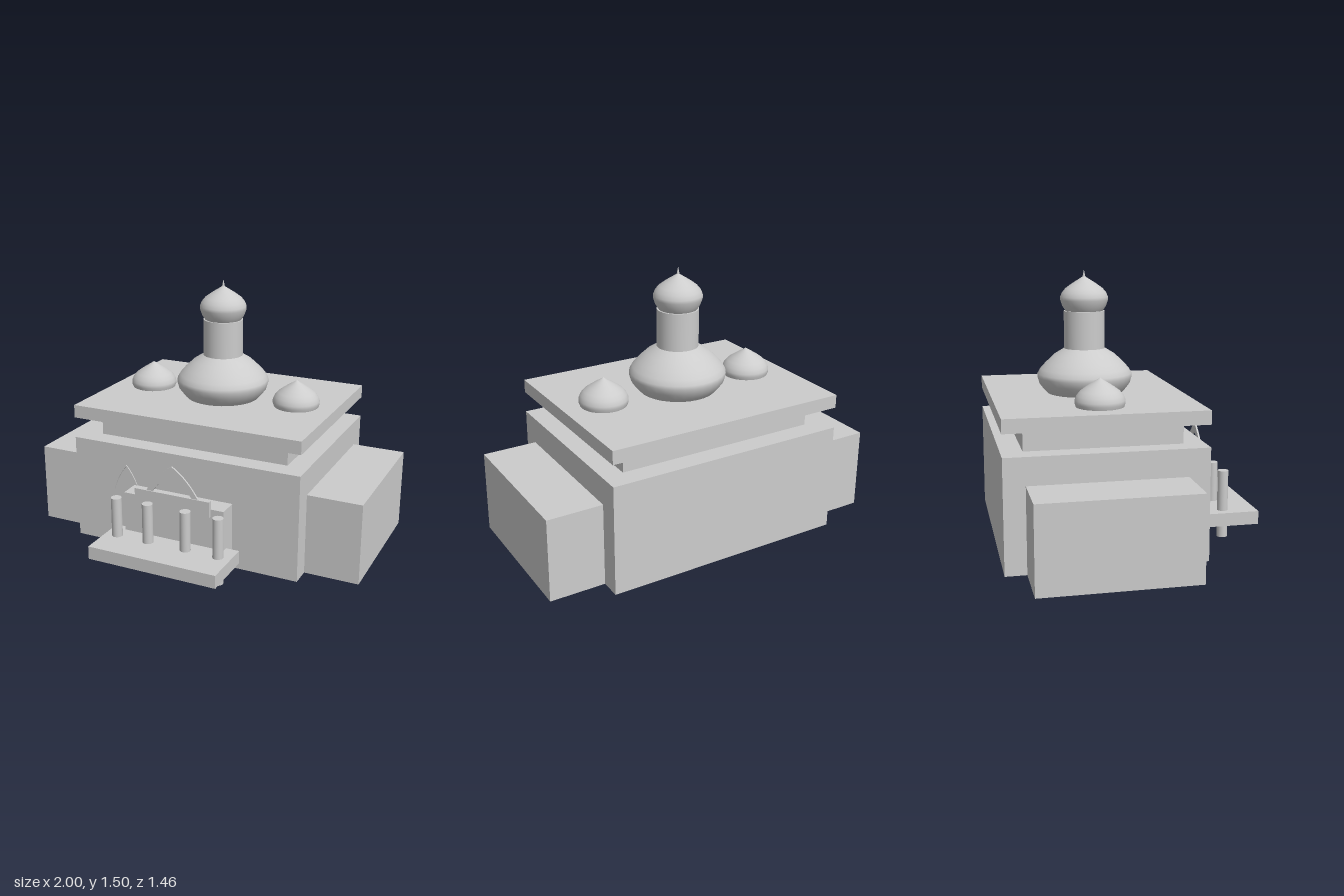
import * as THREE from 'three';

const stone = new THREE.MeshStandardMaterial({ color: 0xcccccc });
stone.name = 'stone grey';

export function createModel() {
  const model = new THREE.Group();
  model.name = 'domedBuilding';

  const add = (name, geometry, x = 0, y = 0, z = 0) => {
    const mesh = new THREE.Mesh(geometry, stone);
    mesh.name = name;
    mesh.position.set(x, y, z);
    model.add(mesh);
    return mesh;
  };

  // Box given by its minimum and maximum on each axis
  const block = (name, x0, x1, y0, y1, z0, z1) =>
    add(name, new THREE.BoxGeometry(x1 - x0, y1 - y0, z1 - z0),
      (x0 + x1) / 2, (y0 + y1) / 2, (z0 + z1) / 2);

  // Smooth turned form from [radius, height] pairs
  const turned = (points) =>
    new THREE.LatheGeometry(points.map(([r, y]) => new THREE.Vector2(r, y)), 32);

  // Pointed arch band standing on y = 0
  const archBand = (halfWidth, height, band, depth) => {
    const w = halfWidth - band, h = height - band * 1.35;
    const s = new THREE.Shape();
    s.moveTo(-halfWidth, 0);
    s.quadraticCurveTo(-halfWidth * 0.6, height * 0.66, 0, height);
    s.quadraticCurveTo(halfWidth * 0.6, height * 0.66, halfWidth, 0);
    s.lineTo(w, 0);
    s.quadraticCurveTo(w * 0.6, h * 0.66, 0, h);
    s.quadraticCurveTo(-w * 0.6, h * 0.66, -w, 0);
    s.closePath();
    return new THREE.ExtrudeGeometry(s, { depth, bevelEnabled: false, curveSegments: 8 });
  };

  // Main body, wings and roof
  block('mainHall', -0.69, 0.69, 0, 0.615, -0.73, 0.345);
  block('leftWing', 0.69, 1, 0, 0.465, -0.615, 0.23);
  block('rightWing', -1, -0.69, 0, 0.465, -0.615, 0.23);
  block('upperTier', -0.575, 0.575, 0.615, 0.715, -0.615, 0.23);
  block('roofSlab', -0.69, 0.69, 0.735, 0.81, -0.73, 0.345);

  // Entrance
  block('entranceBlock', -0.305, 0.305, 0, 0.385, 0.345, 0.46);
  block('porchPlatform', -0.383, 0.383, 0.08, 0.155, 0.425, 0.73);
  block('entranceLintel', -0.228, 0.228, 0.342, 0.432, 0.455, 0.477);
  for (const x of [-0.31, -0.115, 0.115, 0.31]) {
    add('porchColumn', new THREE.CylinderGeometry(0.03, 0.03, 0.385, 24), x, 0.1925, 0.54);
  }
  add('entranceArch', archBand(0.163, 0.175, 0.037, 0.01), 0, 0.42, 0.461);
  add('wallArch', archBand(0.087, 0.16, 0.008, 0.007), -0.355, 0.34, 0.344);

  // Domes
  const domeZ = -0.193;
  const onion = [
    [0.105, 0], [0.122, 0.025], [0.134, 0.06], [0.134, 0.078], [0.124, 0.102],
    [0.105, 0.125], [0.075, 0.147], [0.046, 0.166], [0.02, 0.182], [0, 0.195],
  ];
  add('centralDome', turned([
    [0.208, 0.805], [0.23, 0.828], [0.258, 0.865], [0.268, 0.9], [0.266, 0.92],
    [0.25, 0.947], [0.22, 0.98], [0.172, 1.025], [0.115, 1.06], [0.08, 1.08],
  ]), 0, 0, domeZ);
  add('drum', new THREE.CylinderGeometry(0.115, 0.115, 0.23, 32), 0, 1.155, domeZ);
  add('topDome', turned(onion), 0, 1.27, domeZ);
  add('finial', new THREE.ConeGeometry(0.01, 0.05, 12), 0, 1.475, domeZ);
  for (const side of [-1, 1]) {
    add(side > 0 ? 'leftDome' : 'rightDome', turned(onion), side * 0.46, 0.767, domeZ);
  }

  return model;
}
